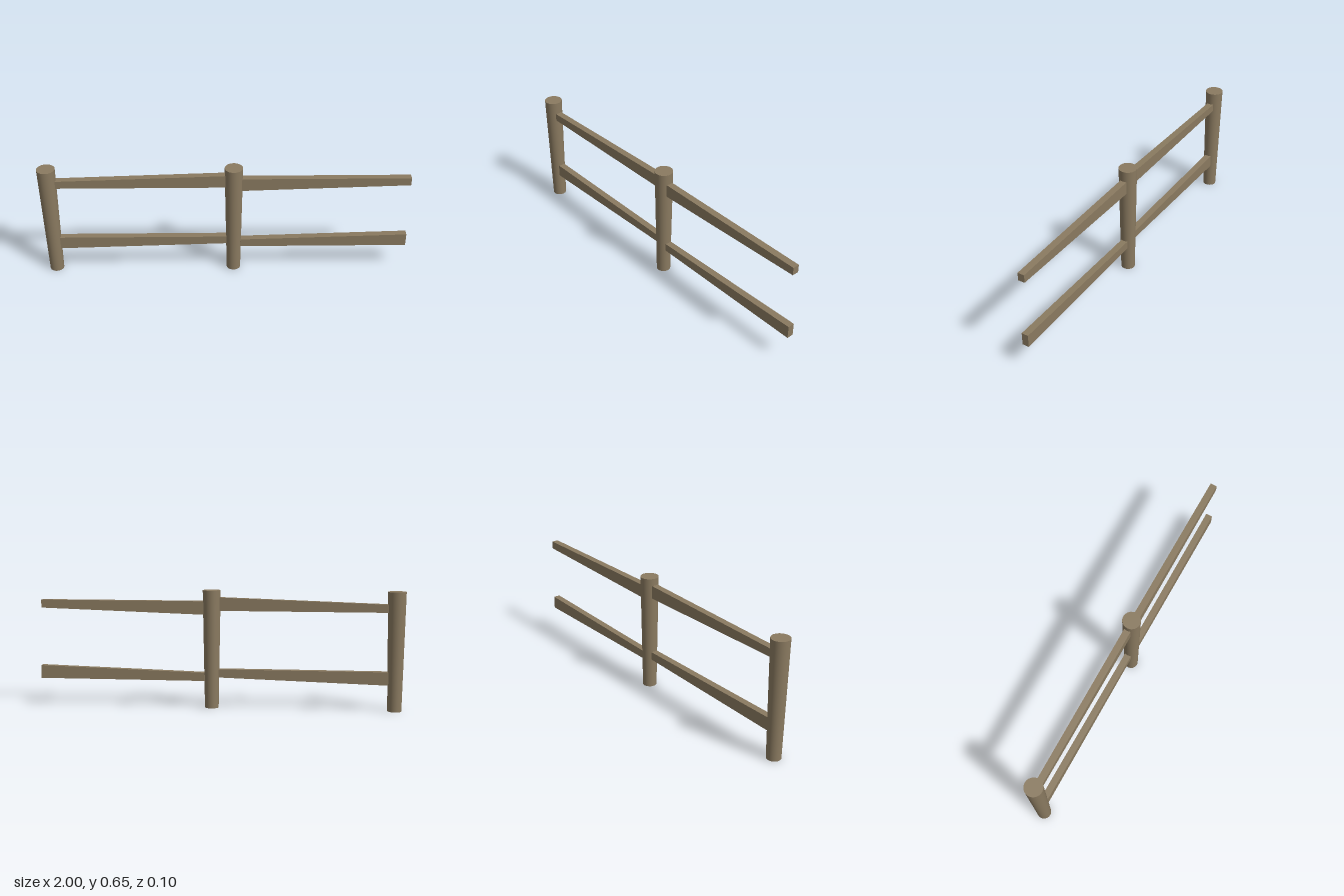
import * as THREE from 'three';

const POST_HEIGHT = 0.648;
const RAIL_DEPTH = 0.037;

export function createModel() {
  const group = new THREE.Group();
  group.name = 'fence';
  const wood = new THREE.MeshStandardMaterial({ color: 0x8a7a60 });
  wood.name = 'weathered wood';

  // Round posts, slightly wider at the top
  const postGeometry = new THREE.CylinderGeometry(0.049, 0.038, POST_HEIGHT, 32);
  [['rightPost', -0.951], ['middlePost', 0.044]].forEach(([name, x]) => {
    const post = new THREE.Mesh(postGeometry, wood);
    post.name = name;
    post.position.set(x, POST_HEIGHT / 2, 0);
    group.add(post);
  });

  // Tapered rail: x range, then bottom and top heights at each end
  function addRail(name, x0, x1, [bottom0, top0], [bottom1, top1]) {
    const shape = new THREE.Shape([
      new THREE.Vector2(x0, bottom0),
      new THREE.Vector2(x1, bottom1),
      new THREE.Vector2(x1, top1),
      new THREE.Vector2(x0, top0),
    ]);
    const geometry = new THREE.ExtrudeGeometry(shape, { depth: RAIL_DEPTH, bevelEnabled: false });
    geometry.translate(0, 0, -RAIL_DEPTH / 2);
    const rail = new THREE.Mesh(geometry, wood);
    rail.name = name;
    group.add(rail);
  }

  // Rails between the posts
  addRail('upperRightRail', -0.908, 0.0, [0.537, 0.58], [0.537, 0.609]);
  addRail('lowerRightRail', -0.914, 0.005, [0.143, 0.215], [0.17, 0.215]);

  // Rails reaching out from the middle post
  addRail('upperLeftRail', 0.087, 0.991, [0.515, 0.588], [0.544, 0.588]);
  addRail('lowerLeftRail', 0.081, 1.0, [0.149, 0.194], [0.149, 0.221]);

  return group;
}
